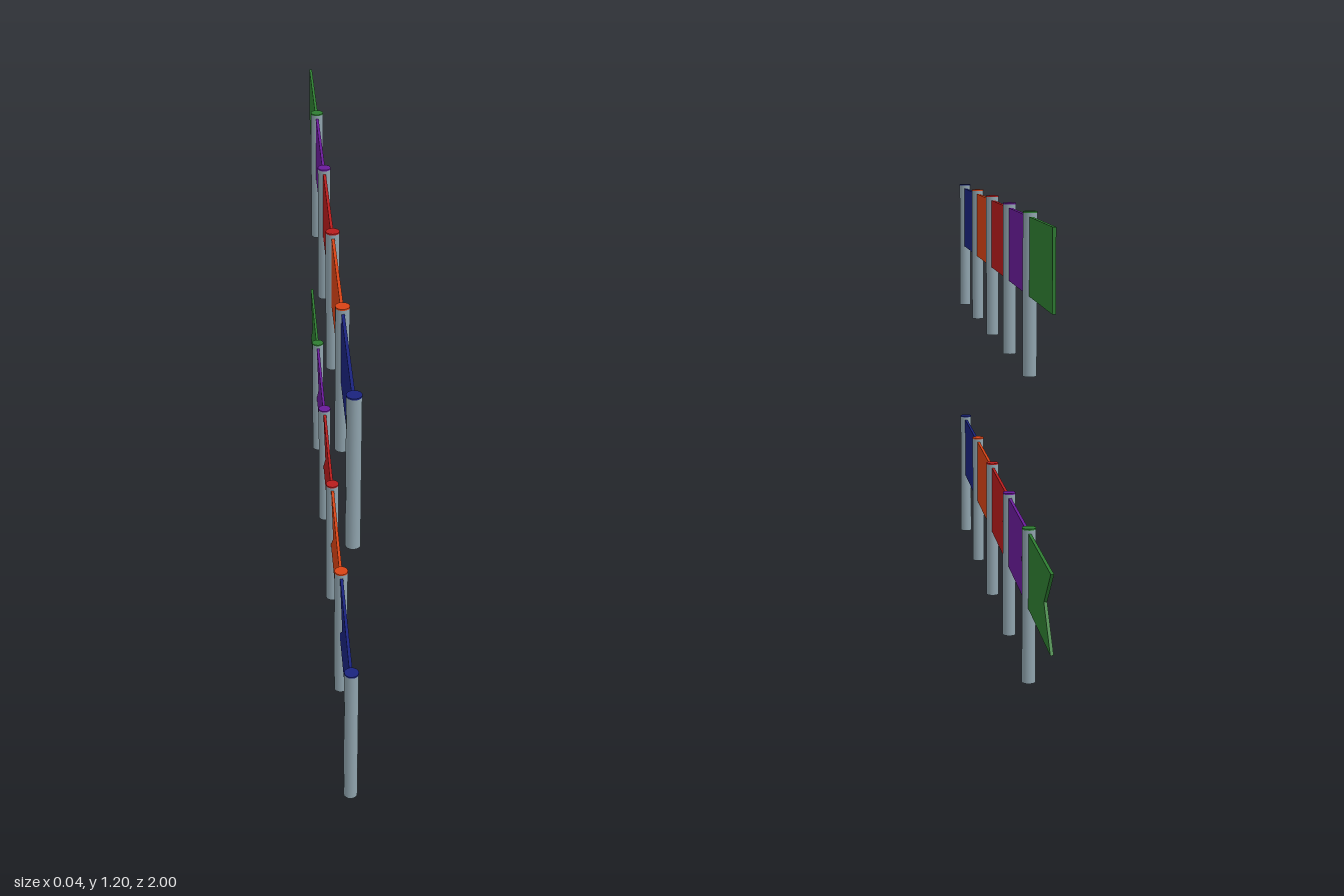
import * as THREE from 'three';

const POLE_R = 0.018, POLE_H = 0.408, CAP_H = 0.004;
const FLAG_L = 0.39, FLAG_LOW = 0.2, FLAG_HIGH = 0.395, FLAG_T = 0.008;

function material(name, color) {
  const m = new THREE.MeshStandardMaterial({ color });
  m.name = name;
  return m;
}

// Flag outline drawn along +x, then turned so it streams towards -z
function flagGeometry(notch) {
  const mid = (FLAG_LOW + FLAG_HIGH) / 2;
  const points = [[0, FLAG_LOW], [FLAG_L, FLAG_LOW]];
  if (notch > 0) points.push([FLAG_L - notch, mid]);
  points.push([FLAG_L, FLAG_HIGH], [0, FLAG_HIGH]);
  const shape = new THREE.Shape(points.map(([x, y]) => new THREE.Vector2(x, y)));
  const geo = new THREE.ExtrudeGeometry(shape, { depth: FLAG_T, bevelEnabled: false });
  geo.translate(0, 0, -FLAG_T / 2);
  geo.rotateY(Math.PI / 2);
  return geo;
}

export function createModel() {
  const model = new THREE.Group();
  model.name = 'flagRows';

  const poleMaterial = material('pole grey', 0x90a4ae);
  const colours = [
    material('navy blue', 0x1a237e),
    material('burnt orange', 0xd84315),
    material('deep red', 0xb71c1c),
    material('purple', 0x6a1b9a),
    material('green', 0x2e7d32),
  ];

  const shaftH = POLE_H - CAP_H;
  const poleGeo = new THREE.CylinderGeometry(POLE_R, POLE_R, shaftH, 16);
  poleGeo.translate(0, shaftH / 2, 0);
  const capGeo = new THREE.CylinderGeometry(POLE_R, POLE_R, CAP_H, 16);
  capGeo.translate(0, POLE_H - CAP_H / 2, 0);

  // Lower row has swallow-tailed flags, upper row plain ones
  const rows = [
    { name: 'swallowtail', y: 0, notch: 0.106 },
    { name: 'plain', y: 0.796, notch: 0 },
  ];
  for (const row of rows) {
    const flagGeo = flagGeometry(row.notch);
    colours.forEach((colour, i) => {
      const marker = new THREE.Group();
      marker.name = `${row.name}Marker${i + 1}`;
      const parts = [
        ['pole', poleGeo, poleMaterial],
        ['poleCap', capGeo, colour],
        ['flag', flagGeo, colour],
      ];
      for (const [name, geo, mat] of parts) {
        const mesh = new THREE.Mesh(geo, mat);
        mesh.name = name;
        marker.add(mesh);
      }
      marker.position.set(0, row.y, 0.982 - i * 0.398);
      model.add(marker);
    });
  }
  return model;
}
